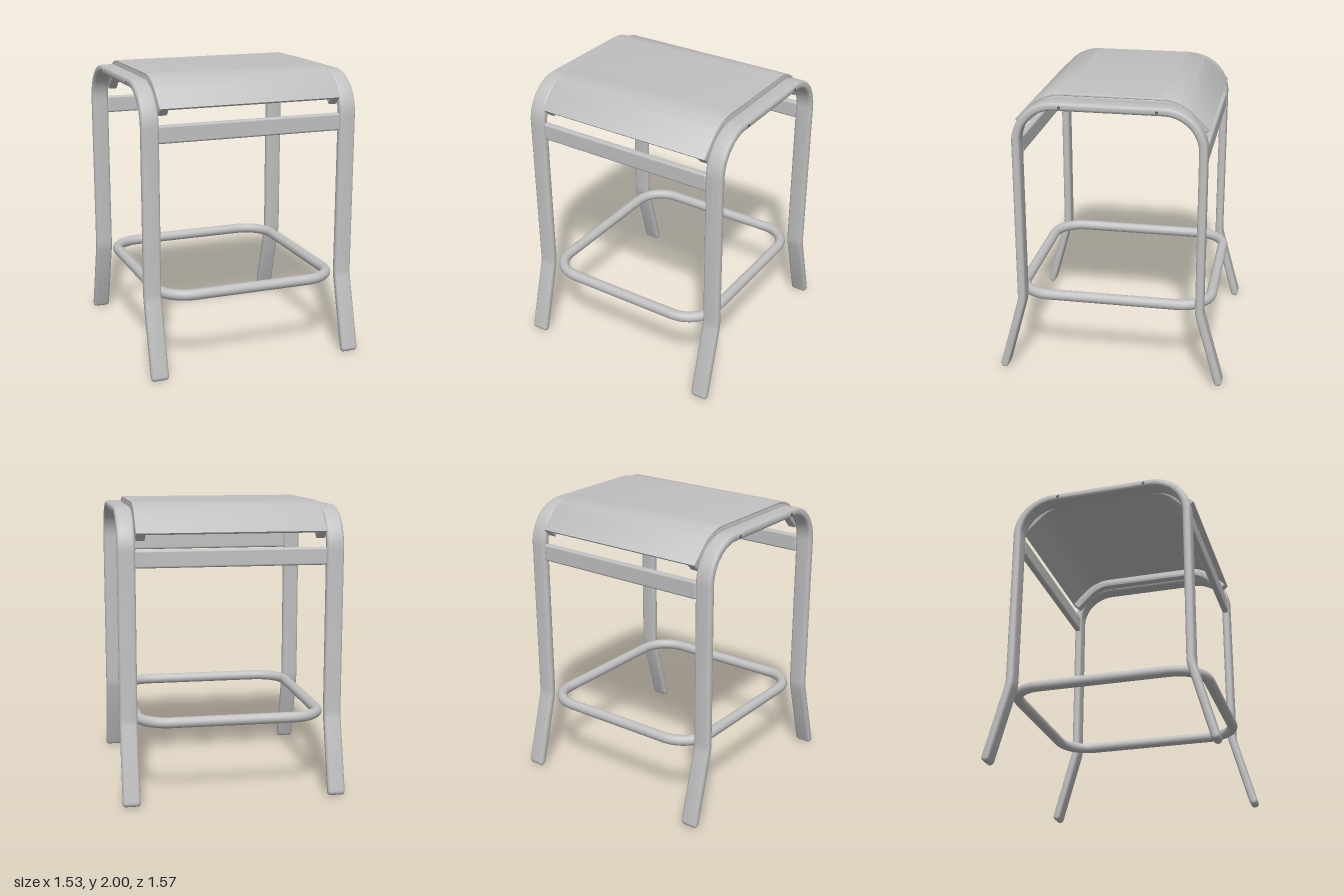
import * as THREE from 'three';
import { toCreasedNormals } from 'three/addons/utils/BufferGeometryUtils.js';
import { RoundedBoxGeometry } from 'three/addons/geometries/RoundedBoxGeometry.js';

const V = (x, y) => new THREE.Vector2(x, y);

// Arc points from angle a0 to a1 around (cx, cy)
function arc(cx, cy, r, a0, a1, n) {
  return Array.from({ length: n + 1 }, (_, i) => {
    const a = a0 + (a1 - a0) * i / n;
    return V(cx + r * Math.cos(a), cy + r * Math.sin(a));
  });
}

// Complete a half path (ending at the top) with its mirror image
const mirrored = half => [...half, ...half.map(p => V(-p.x, p.y)).reverse()];

// Bent bar: a side path thickened to t, extruded to width w across x, with rounded edges
function bentBar(path, t, w, bevel, roundEnds) {
  const n = path.length, a = [], b = [];
  const dir = (i, j) => path[j].clone().sub(path[i]).normalize();
  path.forEach((p, i) => {
    const d0 = dir(Math.max(i - 1, 0), Math.max(i, 1));
    const d1 = dir(Math.min(i, n - 2), Math.min(i + 1, n - 1));
    const m = d0.clone().add(d1).normalize();
    const k = t / 2 / m.dot(d0);
    a.push(V(p.x - m.y * k, p.y + m.x * k));
    b.push(V(p.x + m.y * k, p.y - m.x * k));
  });
  const cap = (p, d) => {
    if (!roundEnds) return [];
    const s = Math.atan2(d.y, d.x) + Math.PI / 2;
    return arc(p.x, p.y, t / 2, s, s - Math.PI, 8).slice(1, -1);
  };
  const outline = [...a, ...cap(path[n - 1], dir(n - 2, n - 1)),
    ...b.reverse(), ...cap(path[0], dir(1, 0))];
  const geo = new THREE.ExtrudeGeometry(new THREE.Shape(outline), {
    depth: w - 2 * bevel, bevelEnabled: true, bevelThickness: bevel,
    bevelSize: bevel, bevelOffset: -bevel, bevelSegments: 4, steps: 1,
  });
  geo.translate(0, 0, bevel - w / 2);
  geo.rotateY(Math.PI / 2);
  return toCreasedNormals(geo, 0.6);
}

export function createModel() {
  const model = new THREE.Group();
  model.name = 'stool';
  const grey = new THREE.MeshStandardMaterial({ color: 0xc0c0c0 });
  grey.name = 'grey';
  const dark = new THREE.MeshStandardMaterial({ color: 0x606060 });
  dark.name = 'hole grey';

  function add(name, geo, x = 0, y = 0, z = 0, mat = grey) {
    const mesh = new THREE.Mesh(geo, mat);
    mesh.name = name;
    mesh.position.set(x, y, z);
    model.add(mesh);
    return mesh;
  }

  // Side frames: splayed feet, upright legs and a rounded top in one bent bar
  const framePath = mirrored([V(0.757, 0.028), V(0.622, 0.515), V(0.617, 0.54), V(0.615, 0.57),
    ...arc(0.355, 1.6825, 0.26, 0, Math.PI / 2, 20)]);
  const frameGeo = bentBar(framePath, 0.055, 0.12, 0.02, true);

  // Seat path at a depth below the top surface
  const seatPath = depth => {
    const s = Math.SQRT1_2, r = 0.3 - depth;
    const bend = arc(0.33, 1.7, r, Math.PI / 4, Math.PI / 2, 14);
    return mirrored([V(bend[0].x + 0.145 * s, bend[0].y - 0.145 * s), ...bend]);
  };
  const railGeo = bentBar(seatPath(0.042), 0.064, 0.066, 0.01, false);

  for (const side of [1, -1]) {
    const word = side > 0 ? 'left' : 'right';
    add(word + 'Frame', frameGeo, side * 0.705);
    add(word + 'SeatRail', railGeo, side * 0.609);
    // Bolt holes on both faces of the frame
    for (const z of [0.315, -0.315]) {
      for (const x of [0.645, 0.765]) {
        const hole = add(word + 'BoltHole', new THREE.CylinderGeometry(0.011, 0.011, 0.004, 16),
          side * x, 1.94, z, dark);
        hole.rotation.z = Math.PI / 2;
      }
    }
  }

  // Seat sheet curving down at front and back
  add('seat', bentBar(seatPath(0.008), 0.016, 1.284, 0.006, false));

  // Cross bars under the seat
  for (const z of [1, -1]) {
    add(z > 0 ? 'frontCrossBar' : 'backCrossBar',
      new RoundedBoxGeometry(1.3, 0.12, 0.046, 4, 0.015), 0, 1.64, z * 0.615);
  }

  // Footrest ring
  const hx = 0.633, hz = 0.667, r = 0.213;
  const ring = new THREE.CurvePath();
  const corners = [[1, 1], [-1, 1], [-1, -1], [1, -1]].flatMap(([sx, sz], i) =>
    arc(sx * (hx - r), sz * (hz - r), r, i * Math.PI / 2, (i + 1) * Math.PI / 2, 12));
  const points = corners.map(p => new THREE.Vector3(p.x, 0, p.y));
  points.forEach((p, i) => ring.add(new THREE.LineCurve3(p, points[(i + 1) % points.length])));
  add('footrestRing', new THREE.TubeGeometry(ring, 160, 0.037, 16, true), 0, 0.542, 0);

  return model;
}
